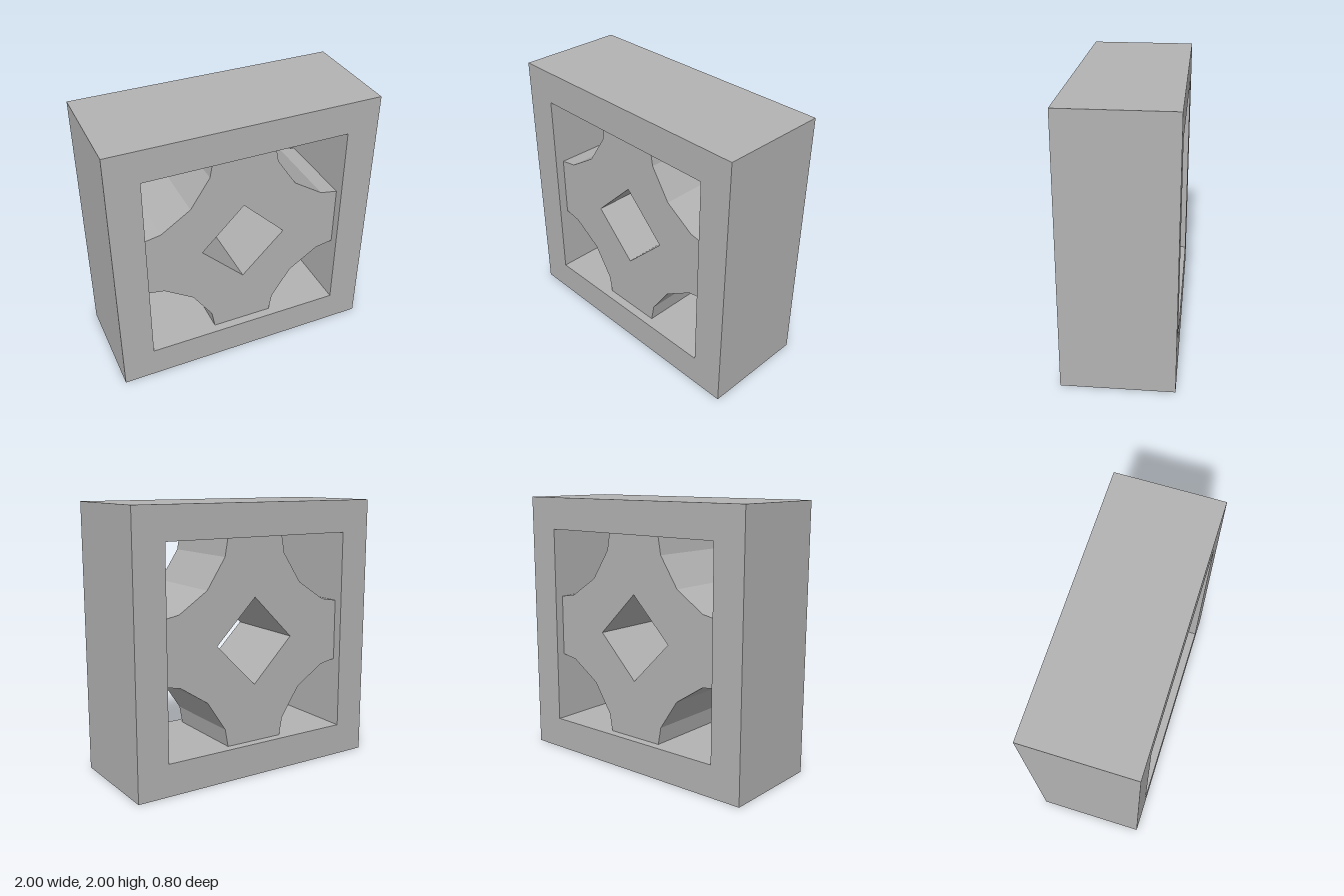
import * as THREE from 'three';

const INNER = 0.76; // half width of the frame opening

// Extrude an outline with one hole, centred in depth and on y = 1
function plate(name, outline, hole, depth, material) {
  const toPoints = (list) => list.map(([x, y]) => new THREE.Vector2(x, y));
  const shape = new THREE.Shape(toPoints(outline));
  shape.holes.push(new THREE.Path(toPoints(hole)));
  const geometry = new THREE.ExtrudeGeometry(shape, { depth, bevelEnabled: false });
  geometry.translate(0, 1, -depth / 2);
  const mesh = new THREE.Mesh(geometry, material);
  mesh.name = name;
  return mesh;
}

const square = (h) => [[h, h], [-h, h], [-h, -h], [h, -h]];

export function createModel() {
  const grey = new THREE.MeshStandardMaterial({ color: 0xb2b2b2 });
  grey.name = 'concrete grey';

  // One scalloped corner, turned four times around the centre
  const corner = [[INNER, 0.233], [0.627, 0.257], [0.404, 0.404], [0.257, 0.627], [0.233, INNER]];
  const cross = [];
  for (let i = 0; i < 4; i++) {
    for (const [x, y] of corner) cross.push([[x, y], [-y, x], [-x, -y], [y, -x]][i]);
  }
  const d = 0.324;
  const diamond = [[d, 0], [0, d], [-d, 0], [0, -d]];

  const group = new THREE.Group();
  group.name = 'breezeBlock';
  group.add(
    plate('outerFrame', square(1), square(INNER), 0.804, grey),
    plate('innerLattice', cross, diamond, 0.67, grey), // set back on both faces
  );
  return group;
}
